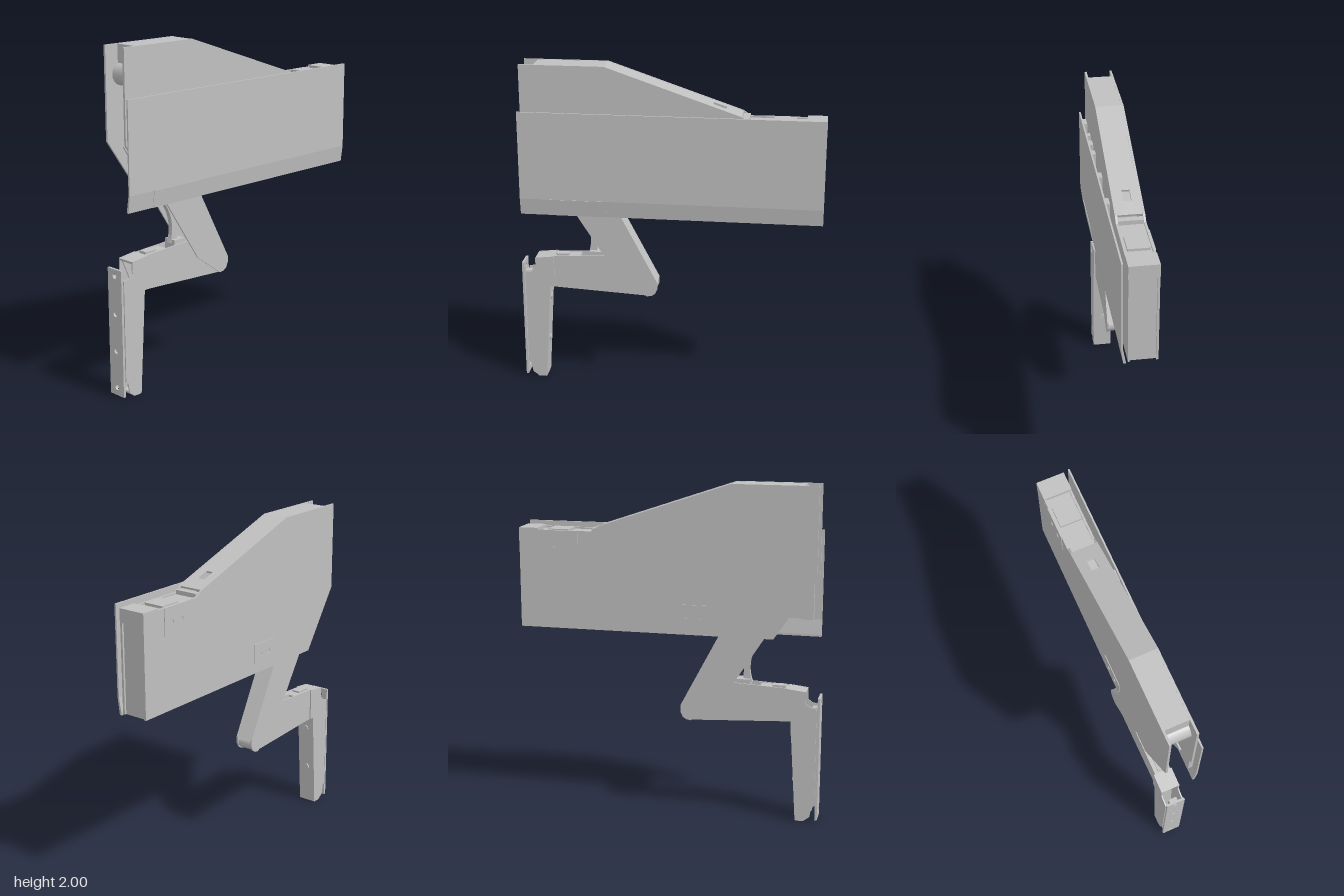
import * as THREE from 'three';

export function createModel() {
  const model = new THREE.Group();
  const grey = new THREE.MeshStandardMaterial({ color: 0xc0c0c0 });
  grey.name = 'light grey';
  const MID = -0.022; // centre plane of the arms

  const add = (name, geometry, parent = model) => {
    const mesh = new THREE.Mesh(geometry, grey);
    mesh.name = name;
    parent.add(mesh);
    return mesh;
  };
  const box = (name, x0, x1, y0, y1, z0, z1) => {
    const g = new THREE.BoxGeometry(x1 - x0, y1 - y0, z1 - z0);
    g.translate((x0 + x1) / 2, (y0 + y1) / 2, (z0 + z1) / 2);
    return add(name, g);
  };
  // Plate with a [z, y] outline, running from x0 to x1; holes are [z, y, radius]
  const plate = (name, points, x0, x1, holes = []) => {
    const s = new THREE.Shape(points.map(([z, y]) => new THREE.Vector2(z, y)));
    for (const [z, y, r] of holes) s.holes.push(new THREE.Path().absarc(z, y, r, 0, Math.PI * 2, true));
    const g = new THREE.ExtrudeGeometry(s, { depth: x1 - x0, bevelEnabled: false, curveSegments: 10 });
    g.rotateY(-Math.PI / 2);
    g.translate(x1, 0, 0);
    return add(name, g);
  };
  // Straight sheet between two [z, y] points, with thickness t to the right of the run
  const sheet = (name, [z0, y0], [z1, y1], t, x0, x1) => {
    const l = Math.hypot(z1 - z0, y1 - y0), nz = (y1 - y0) / l * t, ny = -(z1 - z0) / l * t;
    return plate(name, [[z0, y0], [z1, y1], [z1 + nz, y1 + ny], [z0 + nz, y0 + ny]], x0, x1);
  };
  // Cylinder along x
  const pin = (name, z, y, r, x0, x1) => {
    const g = new THREE.CylinderGeometry(r, r, x1 - x0, 24);
    g.rotateZ(Math.PI / 2);
    g.translate((x0 + x1) / 2, y, z);
    return add(name, g);
  };

  // Housing side walls
  const wall = [[0.875, 2], [0.375, 2], [-0.42, 1.73], [-0.46, 1.7], [-0.905, 1.7],
    [-0.905, 1.11], [0.63, 1.11], [0.875, 1.47]];
  plate('housingWallRight', wall, -0.105, -0.092);
  plate('housingWallLeft', wall, 0.048, 0.061);

  // Housing top, back, floor and rear cap
  const X0 = -0.092, X1 = 0.048;
  box('housingTop', X0, X1, 1.985, 1.999, 0.375, 0.79);
  box('housingFrontPanel', X0, X1, 1.89, 1.986, 0.775, 0.789);
  const len = Math.hypot(0.795, 0.27);
  const slope = new THREE.Shape([[X0, 0], [X1, 0], [X1, len], [X0, len]].map(p => new THREE.Vector2(...p)));
  slope.holes.push(new THREE.Path([[-0.045, 0.66], [-0.045, 0.74], [0, 0.74], [0, 0.66]].map(p => new THREE.Vector2(...p))));
  const slopeGeo = new THREE.ExtrudeGeometry(slope, { depth: 0.012, bevelEnabled: false });
  slopeGeo.translate(0, 0, -0.013);
  slopeGeo.rotateX(-Math.PI / 2 - Math.atan2(0.27, 0.795));
  slopeGeo.translate(0, 2, 0.375);
  add('housingSlope', slopeGeo);
  box('slopeRecess', -0.05, 0.005, 1.71, 1.73, -0.35, -0.22);
  box('rearCapStep', X0, X1, 1.67, 1.715, -0.46, -0.42);
  box('rearCap', X0, X1, 1.66, 1.69, -0.79, -0.45);
  box('rearCapRidge', -0.085, 0.04, 1.69, 1.705, -0.73, -0.6);
  box('rearLid', -0.106, 0.062, 1.63, 1.71, -0.906, -0.79);
  box('housingBack', X0, X1, 1.11, 1.66, -0.893, -0.88);
  box('housingFloor', X0, X1, 1.112, 1.126, -0.89, 0.24);

  // Fixing plates on the plain side
  const fixing = (name, z, y, w, h) => plate(name,
    [[z - w, y - h], [z + w, y - h], [z + w, y + h], [z - w, y + h]], -0.109, -0.105,
    [[z - 0.04, y - 0.01, 0.014], [z + 0.04, y - 0.01, 0.014]]);
  fixing('rearFixingPlate', -0.64, 1.62, 0.1, 0.08);
  fixing('frontFixingPlate', 0.16, 1.23, 0.1, 0.06);

  // Cover panel with inclined lower edge, insert and clips
  box('coverPanel', 0.088, 0.098, 1.2, 1.728, -0.905, 0.888);
  const lip = (name, z0, z1, out) => {
    const s = new THREE.Shape([[0.088, 1.2], [0.098 + out, 1.2], [0.085 + out, 1.1], [0.072, 1.1], [0.072, 1.112]]
      .map(p => new THREE.Vector2(...p)));
    const g = new THREE.ExtrudeGeometry(s, { depth: z1 - z0, bevelEnabled: false });
    g.translate(0, 0, z0);
    add(name, g);
  };
  lip('coverLip', -0.905, 0.888, 0);
  lip('coverInsert', 0.37, 0.71, 0.003);
  for (const [z0, z1] of [[-0.24, -0.17], [0.07, 0.13], [0.36, 0.41], [0.48, 0.54], [0.6, 0.64], [0.77, 0.84]])
    box('coverClip', 0.061, 0.088, 1.2, 1.7, z0, z1);

  // Mechanism inside the housing
  pin('frontRoller', 0.765, 1.835, 0.065, X0, X1);
  pin('crossPin', 0.7, 1.72, 0.04, X0, X1);
  box('springPack', -0.08, 0.036, 1.45, 1.68, -0.3, 0.6);
  const link = new THREE.Shape();
  link.moveTo(0.45, 0.83);
  link.lineTo(0.5, 0.83);
  link.quadraticCurveTo(0.45, 0.97, 0.56, 1.1);
  link.quadraticCurveTo(0.7, 1.35, 0.77, 1.72);
  link.absarc(0.73, 1.76, 0.04, 0, Math.PI, false);
  link.quadraticCurveTo(0.65, 1.4, 0.5, 1.1);
  link.quadraticCurveTo(0.44, 1, 0.45, 0.83);
  const linkGeo = new THREE.ExtrudeGeometry(link, { depth: 0.03, bevelEnabled: false, curveSegments: 12 });
  linkGeo.rotateY(-Math.PI / 2);
  linkGeo.translate(MID + 0.015, 0, 0);
  add('curvedLink', linkGeo);

  // Upper arm: channel open to the front
  const upper = [[0.78, 1.43], [0.47, 1.43], [0.3, 1.1], [0.075, 0.67], [0.075, 0.63], [0.09, 0.598],
    [0.11, 0.585], [0.14, 0.58], [0.32, 0.71], [0.57, 1.1]];
  for (const s of [-1, 1]) plate('upperArmSide', upper, MID + s * 0.053 - 0.005, MID + s * 0.053 + 0.005);
  sheet('upperArmBack', [0.47, 1.428], [0.3, 1.1], -0.014, MID - 0.05, MID + 0.05);
  sheet('upperArmBack', [0.3, 1.1], [0.076, 0.67], -0.014, MID - 0.05, MID + 0.05);
  pin('elbowPin', 0.127, 0.635, 0.045, MID - 0.05, MID + 0.05);

  // Lower arm: channel open at the top near the elbow
  const lower = [[0.82, 0.8], [0.7, 0.813], [0.39, 0.828], [0.2, 0.7], [0.1, 0.64], [0.14, 0.582], [0.74, 0.614]];
  for (const s of [-1, 1]) plate('lowerArmSide', lower, MID + s * 0.045 - 0.004, MID + s * 0.045 + 0.004);
  sheet('lowerArmBase', [0.14, 0.583], [0.74, 0.615], -0.014, MID - 0.045, MID + 0.045);
  sheet('lowerArmTop', [0.55, 0.816], [0.71, 0.808], 0.014, MID - 0.045, MID + 0.045);
  box('lowerArmLatch', MID - 0.025, MID + 0.025, 0.8, 0.823, 0.62, 0.7);
  box('linkAnchor', MID - 0.04, MID + 0.04, 0.78, 0.85, 0.41, 0.49);

  // Wall bracket
  const bracket = [[0.89, 0.7], [0.85, 0.71], [0.825, 0.73], [0.825, 0.8], [0.71, 0.813], [0.71, 0.615],
    [0.738, 0.615], [0.777, 0.003], [0.83, 0.003], [0.865, 0.03], [0.875, 0.09], [0.89, 0.1]];
  for (const s of [-1, 1]) plate('bracketSide', bracket, MID + s * 0.054 - 0.004, MID + s * 0.054 + 0.004);
  sheet('bracketBack', [0.738, 0.615], [0.777, 0.003], -0.014, MID - 0.052, MID + 0.052);
  sheet('bracketTop', [0.71, 0.812], [0.825, 0.799], 0.014, MID - 0.052, MID + 0.052);
  box('bracketSpine', MID - 0.025, MID + 0.025, 0.09, 0.7, 0.86, 0.897);
  for (const [y, z] of [[0.53, 0.745], [0.25, 0.762]]) {
    const g = new THREE.CylinderGeometry(0.02, 0.02, 0.014, 16);
    g.rotateX(Math.PI / 2);
    g.translate(MID, y, z - 0.003);
    add('bracketScrew', g);
  }

  // Mounting plate with four holes
  const mount = new THREE.Shape([[-0.057, 0.012], [0.057, 0.012], [0.057, 0.765], [-0.057, 0.765]]
    .map(p => new THREE.Vector2(...p)));
  for (const y of [0.06, 0.28, 0.5, 0.725])
    mount.holes.push(new THREE.Path().absarc(0, y, 0.016, 0, Math.PI * 2, true));
  const mountGeo = new THREE.ExtrudeGeometry(mount, { depth: 0.014, bevelEnabled: false });
  mountGeo.translate(MID, 0, 0.895);
  add('mountingPlate', mountGeo);
  box('plateFoot', MID - 0.057, MID + 0.057, 0, 0.012, 0.78, 0.83);

  return model;
}
